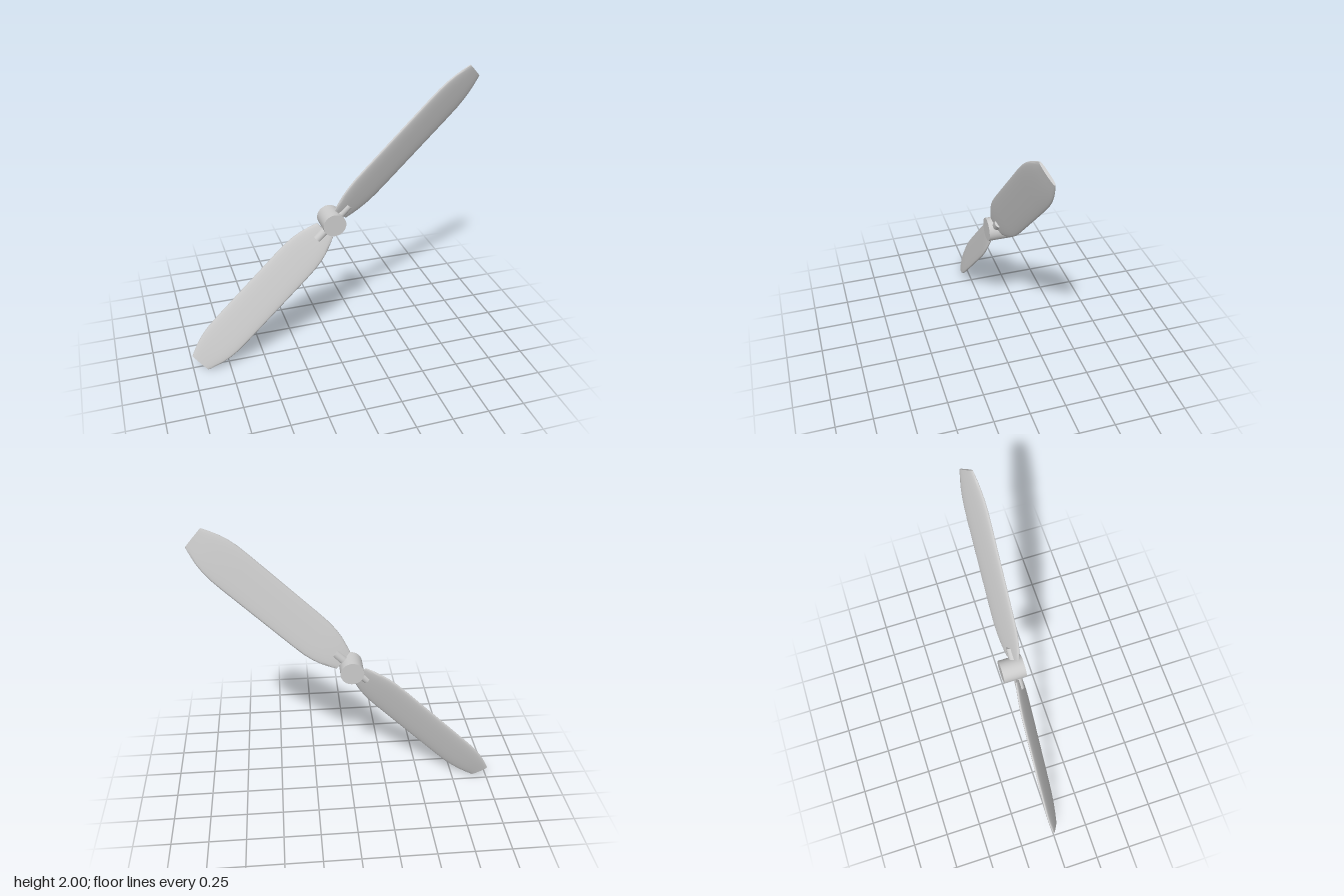
import * as THREE from 'three';
import { toCreasedNormals } from 'three/addons/utils/BufferGeometryUtils.js';

const MID_Z = 0.022; // depth of the blade axis
const TILT = THREE.MathUtils.degToRad(22);

// Blade stations: distance from the hub, half chord, half thickness
const STATIONS = [
  [0.075, 0.072, 0.010], [0.10, 0.083, 0.012], [0.14, 0.098, 0.014], [0.19, 0.114, 0.015],
  [0.25, 0.127, 0.016], [0.32, 0.135, 0.016], [0.42, 0.137, 0.016], [1.00, 0.137, 0.016],
  [1.10, 0.135, 0.016], [1.17, 0.127, 0.015], [1.23, 0.114, 0.014], [1.28, 0.098, 0.012],
  [1.32, 0.083, 0.010], [1.343, 0.073, 0.009],
];

// Loft of rounded thin sections along +y, closed by flat ends
function bladeGeometry() {
  const n = 32, positions = [], index = [];
  const soft = (t) => Math.sign(t) * Math.abs(t) ** 0.8;
  for (const [y, chord, thick] of STATIONS) {
    for (let j = 0; j < n; j++) {
      const a = (j / n) * Math.PI * 2;
      positions.push(chord * soft(Math.cos(a)), y, thick * soft(Math.sin(a)));
    }
  }
  const last = STATIONS.length - 1, root = STATIONS.length * n, tip = root + 1;
  positions.push(0, STATIONS[0][0], 0, 0, STATIONS[last][0], 0);
  for (let j = 0; j < n; j++) {
    const k = (j + 1) % n;
    for (let i = 0; i < last; i++) {
      const a = i * n + j, b = i * n + k;
      index.push(a, a + n, b, b, a + n, b + n);
    }
    index.push(root, j, k, tip, last * n + k, last * n + j);
  }
  const geometry = new THREE.BufferGeometry();
  geometry.setAttribute('position', new THREE.Float32BufferAttribute(positions, 3));
  geometry.setIndex(index);
  return toCreasedNormals(geometry, 1.0);
}

export function createModel() {
  const group = new THREE.Group();
  group.name = 'propeller';
  const material = new THREE.MeshStandardMaterial({ color: 0xcccccc });
  const add = (parent, name, geometry) => {
    const mesh = new THREE.Mesh(geometry, material);
    mesh.name = name;
    parent.add(mesh);
    return mesh;
  };

  // Hub, with its axis front to back
  const hub = add(group, 'hub', new THREE.CylinderGeometry(0.078, 0.078, 0.156, 48));
  hub.rotation.x = Math.PI / 2;
  hub.position.y = 1;

  // Two opposite arms, each a short shaft and a pitched blade
  const blade = bladeGeometry();
  const shaft = new THREE.CylinderGeometry(0.029, 0.029, 0.155, 32).translate(0, 0.0775, 0);
  for (let i = 0; i < 2; i++) {
    const arm = new THREE.Group();
    arm.name = i ? 'lowerArm' : 'upperArm';
    arm.position.set(0, 1, MID_Z);
    arm.rotation.z = -Math.PI / 4 + i * Math.PI;
    add(arm, 'shaft', shaft);
    add(arm, 'blade', blade).rotation.y = TILT;
    group.add(arm);
  }
  return group;
}
